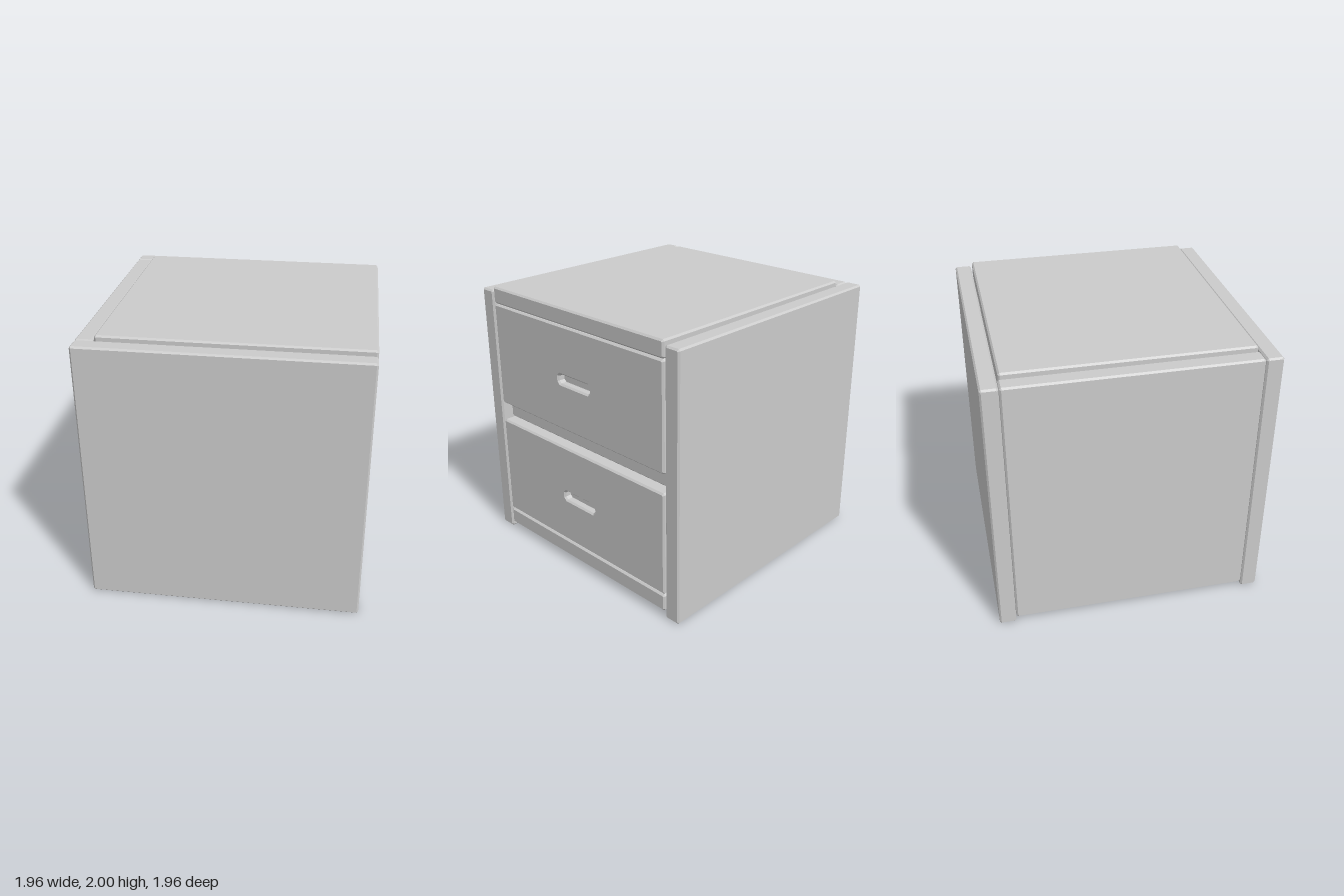
import * as THREE from 'three';

const BEVEL = 0.012;
const material = new THREE.MeshStandardMaterial({ color: 0xcccccc, flatShading: true });

// Rectangle with cut corners, centred on (0, cy)
function cutRect(Type, w, h, c, cy = 0) {
  const x = w / 2, y = h / 2;
  const points = [
    [x - c, -y], [x, -y + c], [x, y - c], [x - c, y],
    [-x + c, y], [-x, y - c], [-x, -y + c], [-x + c, -y],
  ].map(([px, py]) => new THREE.Vector2(px, py + cy));
  return new Type(points);
}

// Chamfered board spanning the given ranges; its outline lies in the z-y plane
function board(name, [x0, x1], [y0, y1], [z0, z1], slot) {
  const shape = cutRect(THREE.Shape, z1 - z0, y1 - y0, BEVEL);
  if (slot) shape.holes.push(cutRect(THREE.Path, slot.w, slot.h, 0.018, slot.y - (y0 + y1) / 2));
  const geometry = new THREE.ExtrudeGeometry(shape, {
    depth: x1 - x0 - 2 * BEVEL,
    bevelEnabled: true, bevelSegments: 1,
    bevelThickness: BEVEL, bevelSize: BEVEL, bevelOffset: -BEVEL,
  });
  geometry.translate(0, 0, BEVEL);
  geometry.rotateY(Math.PI / 2);
  geometry.translate(x0, (y0 + y1) / 2, (z0 + z1) / 2);
  const mesh = new THREE.Mesh(geometry, material);
  mesh.name = name;
  return mesh;
}

// Drawer: front panel with a slot grip, and the box behind it
function drawer(name, y0, y1, slotY) {
  const group = new THREE.Group();
  group.name = name;
  group.add(board('drawerFront', [0.86, 0.98], [y0, y1], [-0.85, 0.85],
    { w: 0.32, h: 0.07, y: slotY }));
  group.add(board('drawerBox', [-0.82, 0.925], [y0 + 0.03, y1 - 0.03], [-0.82, 0.82]));
  return group;
}

export function createModel() {
  const cabinet = new THREE.Group();
  cabinet.name = 'drawerCabinet';
  const inner = [-0.85, 0.85];

  // Side panels, reaching the floor
  cabinet.add(board('sidePanel', [-0.98, 0.98], [0, 1.97], [0.86, 0.98]));
  cabinet.add(board('sidePanel', [-0.98, 0.98], [0, 1.97], [-0.98, -0.86]));

  // Top, bottom, back and the set-back rail between the drawers
  cabinet.add(board('topPanel', [-0.85, 0.98], [1.877, 2], inner));
  cabinet.add(board('bottomPanel', [-0.85, 0.98], [0.045, 0.175], inner));
  cabinet.add(board('backPanel', [-0.98, -0.86], [0.04, 1.97], [-0.857, 0.857]));
  cabinet.add(board('middleRail', [-0.85, 0.905], [0.962, 1.09], inner));

  // Two drawers opening toward the model's left
  cabinet.add(drawer('upperDrawer', 1.097, 1.873, 1.48));
  cabinet.add(drawer('lowerDrawer', 0.18, 0.957, 0.56));

  return cabinet;
}
